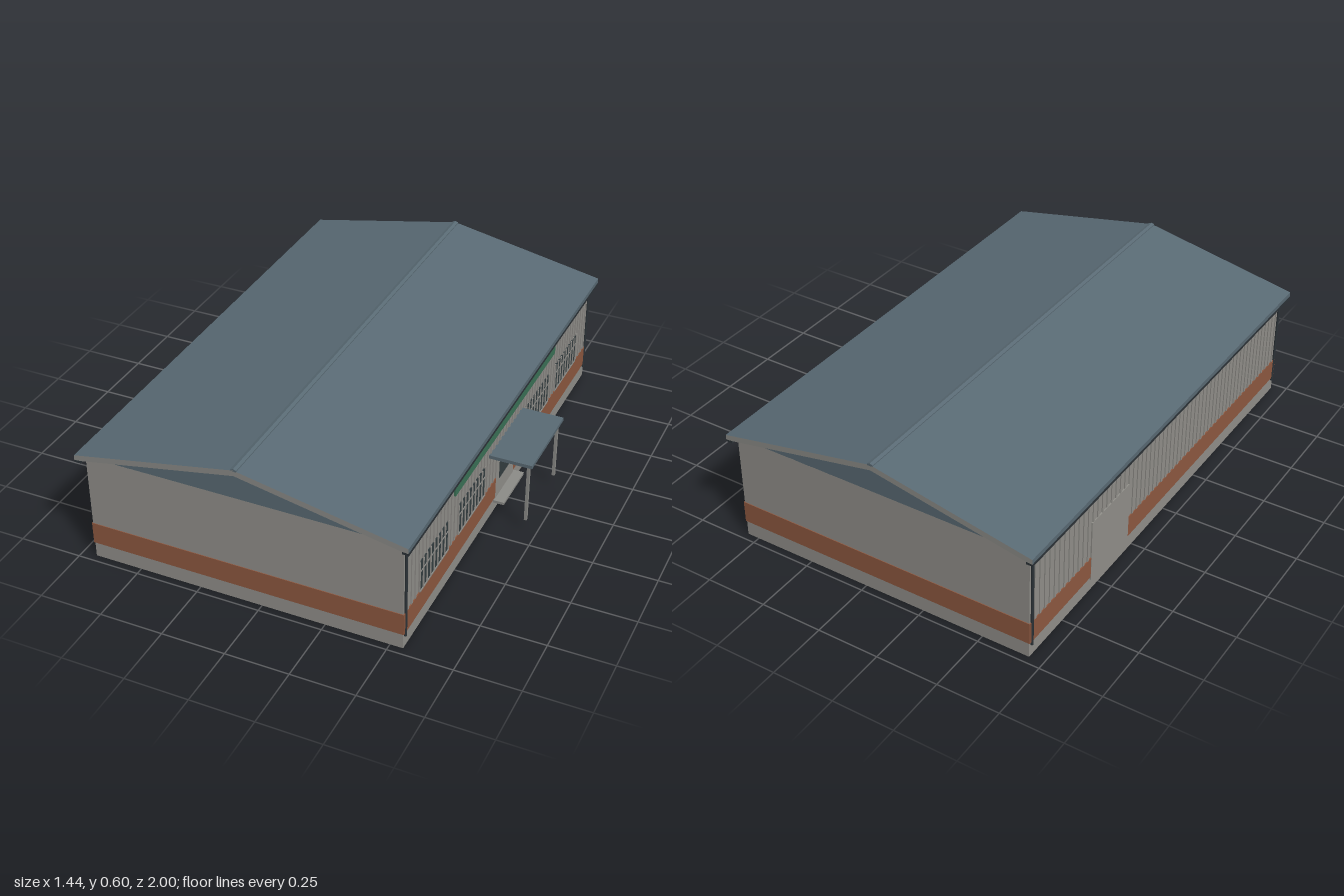
import * as THREE from 'three';

const mat = (name, color) => {
  const m = new THREE.MeshStandardMaterial({ color });
  m.name = name;
  return m;
};

export function createModel() {
  const wall = mat('wall grey', 0x93918c);
  const trim = mat('trim grey', 0x8d8d89);
  const brick = mat('brick red', 0x8f5941);
  const roofBlue = mat('roof slate blue', 0x5a6b75);
  const green = mat('sign green', 0x3c7358);
  const dark = mat('gutter dark', 0x2c3338);
  const glass = mat('window glass', 0x353f42);

  const group = new THREE.Group();
  group.name = 'hall';

  // Box given by its lower and upper limits on each axis
  const box = (name, m, x0, x1, y0, y1, z0, z1) => {
    const mesh = new THREE.Mesh(new THREE.BoxGeometry(x1 - x0, y1 - y0, z1 - z0), m);
    mesh.position.set((x0 + x1) / 2, (y0 + y1) / 2, (z0 + z1) / 2);
    mesh.name = name;
    group.add(mesh);
    return mesh;
  };
  // Outline in x and y, extruded evenly to both sides of z = 0
  const prism = (name, m, points, halfLength) => {
    const shape = new THREE.Shape(points.map(([x, y]) => new THREE.Vector2(x, y)));
    const geo = new THREE.ExtrudeGeometry(shape, { depth: halfLength * 2, bevelEnabled: false });
    geo.translate(0, 0, -halfLength);
    const mesh = new THREE.Mesh(geo, m);
    mesh.name = name;
    group.add(mesh);
  };

  const L = -0.692, R = 0.55, Z = 0.97, MID = -0.071;

  // Walls and gables
  box('walls', wall, L, R, 0, 0.45, -Z, Z);
  prism('gables', roofBlue, [[L, 0.449], [R, 0.449], [MID, 0.569]], Z);

  // Roof with grey verge ends, and the ridge cap
  prism('roof', [trim, roofBlue], [
    [-0.72, 0.446], [-0.69, 0.449], [MID, 0.569], [0.548, 0.449], [0.578, 0.446],
    [0.578, 0.466], [MID, 0.592], [-0.72, 0.466],
  ], 1);
  prism('ridgeCap', roofBlue, [
    [MID - 0.012, 0.587], [MID + 0.012, 0.587], [MID + 0.012, 0.594],
    [MID, 0.598], [MID - 0.012, 0.594],
  ], 1);

  // Brick band: both ends, and the long sides broken at the doors
  const B0 = 0.063, B1 = 0.152;
  for (const s of [-1, 1]) {
    const z = s * (Z + 0.001);
    box('brickBandEnd', brick, L - 0.003, R + 0.003, B0, B1, z - 0.002, z + 0.002);
  }
  for (const [z0, z1] of [[-Z, -0.095], [0.1, Z]]) {
    box('brickBandRight', brick, R - 0.001, R + 0.004, B0, B1, z0, z1);
  }
  const gate = [-0.56, -0.29];
  for (const [z0, z1] of [[-Z, gate[0]], [gate[1], Z]]) {
    box('brickBandLeft', brick, L - 0.004, L + 0.001, B0, B1, z0, z1);
  }

  // Window bands with mullions and a transom
  const windows = [[0.58, 0.84], [0.22, 0.485], [-0.485, -0.22], [-0.825, -0.565]];
  const W0 = 0.157, W1 = 0.284;
  for (const [z0, z1] of windows) {
    box('windowGlass', glass, R - 0.001, R + 0.003, W0, W1, z0, z1);
    for (let i = 0; i <= 8; i++) {
      const z = z0 + (z1 - z0) * i / 8;
      box('windowMullion', wall, R, R + 0.006, W0, W1, z - 0.004, z + 0.004);
    }
    box('windowTransom', trim, R, R + 0.005, 0.237, 0.242, z0, z1);
    box('windowSill', trim, R, R + 0.007, W0 - 0.004, W0, z0, z1);
  }

  // Upright cladding ribs on the long walls, cut around openings
  const ribStep = 0.0323;
  for (let i = -29; i <= 29; i++) {
    const z = i * ribStep;
    const inWindow = windows.some(([a, b]) => z > a - 0.006 && z < b + 0.006);
    const rib = (x, y0, y1) => box('claddingRib', wall, x - 0.004, x + 0.004, y0, y1, z - 0.005, z + 0.005);
    if (inWindow) rib(R, W1, 0.446);
    else if (Math.abs(z) < 0.1) rib(R, 0.25, 0.446);
    else rib(R, B1, 0.446);
    rib(L, z > gate[0] && z < gate[1] ? 0.31 : B1, 0.446);
  }

  // Entrance door with a glazed panel
  box('entranceDoor', wall, R - 0.001, R + 0.004, 0.055, 0.25, -0.095, 0.1);
  box('entranceGlass', glass, R, R + 0.006, 0.131, 0.24, -0.061, 0.066);

  // Loading gate on the left wall
  box('loadingGate', wall, L - 0.005, L + 0.001, 0.05, 0.31, gate[0], gate[1]);

  // Step, canopy and its two posts
  box('entranceStep', trim, R, 0.595, 0.045, 0.056, -0.108, 0.112);
  box('canopyRoof', roofBlue, R, 0.72, 0.294, 0.308, -0.175, 0.178);
  for (const z of [-0.156, 0.16]) {
    box('canopyPost', trim, 0.696, 0.707, 0.045, 0.295, z - 0.006, z + 0.006);
  }

  // Green sign board
  box('signBoard', green, R, R + 0.008, 0.358, 0.44, -0.53, 0.53);

  // Gutters and downpipes, mirrored about the ridge
  const halfWidth = (R - L) / 2;
  for (const s of [-1, 1]) {
    const gutter = MID + s * (halfWidth + 0.016);
    box('gutter', dark, gutter - 0.013, gutter + 0.013, 0.436, 0.447, -0.998, 0.998);
    for (const z of [-0.957, 0.957]) {
      const pipe = new THREE.Mesh(new THREE.CylinderGeometry(0.006, 0.006, 0.39, 8), dark);
      pipe.position.set(MID + s * (halfWidth + 0.003), 0.245, z);
      pipe.name = 'downpipe';
      group.add(pipe);
    }
  }
  return group;
}
